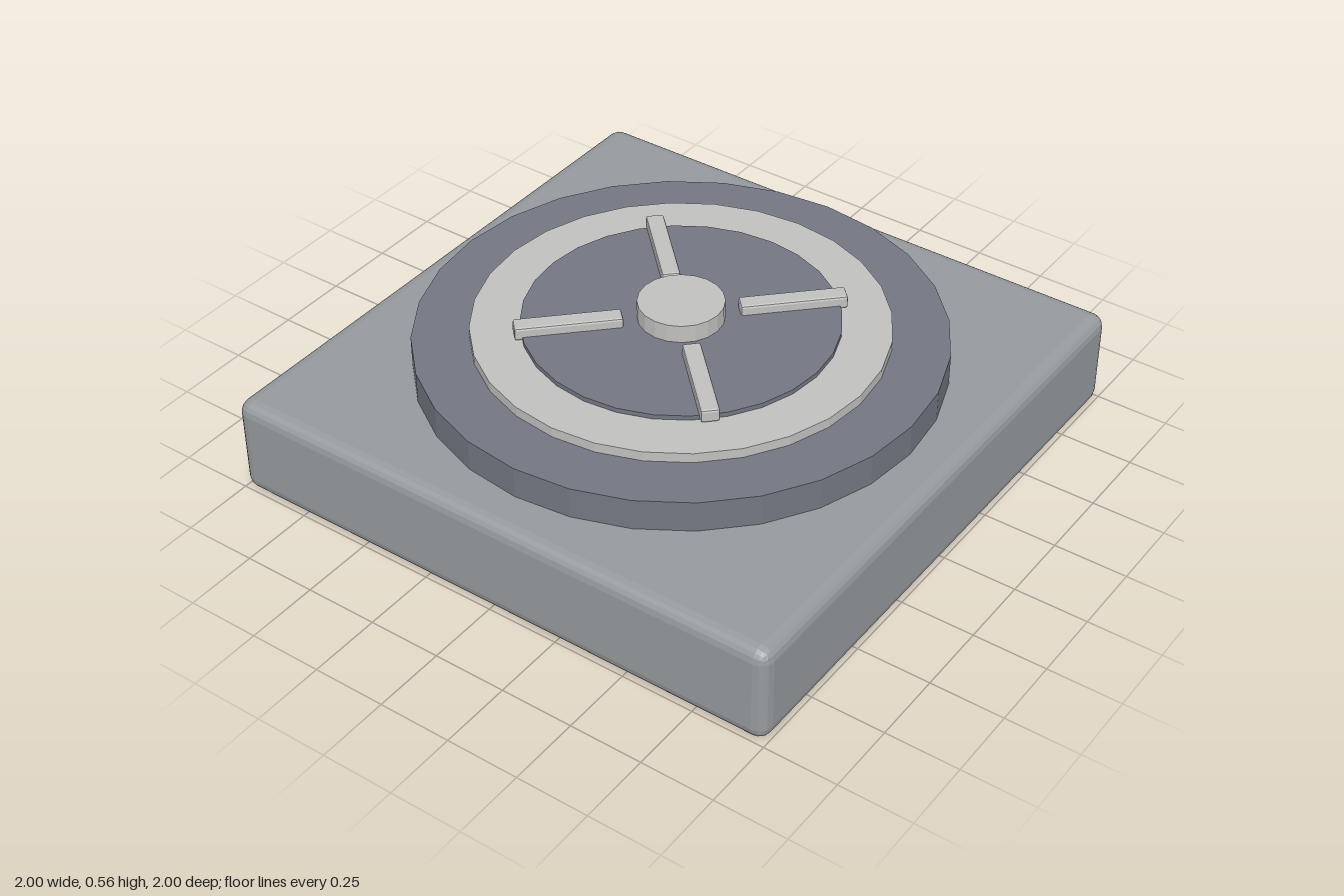
import * as THREE from 'three';
import { RoundedBoxGeometry } from 'three/addons/geometries/RoundedBoxGeometry.js';

export function createModel() {
  const model = new THREE.Group();
  model.name = 'floorPad';

  const material = (name, color) => {
    const m = new THREE.MeshStandardMaterial({ color, flatShading: true });
    m.name = name;
    return m;
  };
  const baseGrey = material('baseGrey', 0x969a9e);
  const slate = material('slate', 0x747782);
  const paleGrey = material('paleGrey', 0xc0c0bf);

  const add = (name, geometry, mat, parent = model) => {
    const mesh = new THREE.Mesh(geometry, mat);
    mesh.name = name;
    parent.add(mesh);
    return mesh;
  };

  // Upright disc between two heights
  const disc = (name, radius, y0, y1, sides, mat) => {
    const mesh = add(name, new THREE.CylinderGeometry(radius, radius, y1 - y0, sides), mat);
    mesh.position.y = (y0 + y1) / 2;
  };

  // Square slab with softened edges
  add('base', new RoundedBoxGeometry(2, 0.345, 2, 2, 0.045), baseGrey).position.y = 0.1725;

  // Stacked discs
  disc('turntable', 0.855, 0.335, 0.453, 28, slate);
  disc('ring', 0.67, 0.45, 0.487, 28, paleGrey);
  disc('innerDisc', 0.51, 0.48, 0.503, 28, slate);
  disc('hub', 0.14, 0.49, 0.565, 20, paleGrey);

  // Four diagonal spokes
  const spokes = new THREE.Group();
  spokes.name = 'spokes';
  model.add(spokes);
  for (let i = 0; i < 4; i++) {
    const angle = Math.PI / 4 + (i * Math.PI) / 2;
    const spoke = add('spoke', new RoundedBoxGeometry(0.06, 0.045, 0.345, 1, 0.008), paleGrey, spokes);
    spoke.position.set(Math.sin(angle) * 0.36, 0.5135, Math.cos(angle) * 0.36);
    spoke.rotation.y = angle;
  }

  return model;
}
